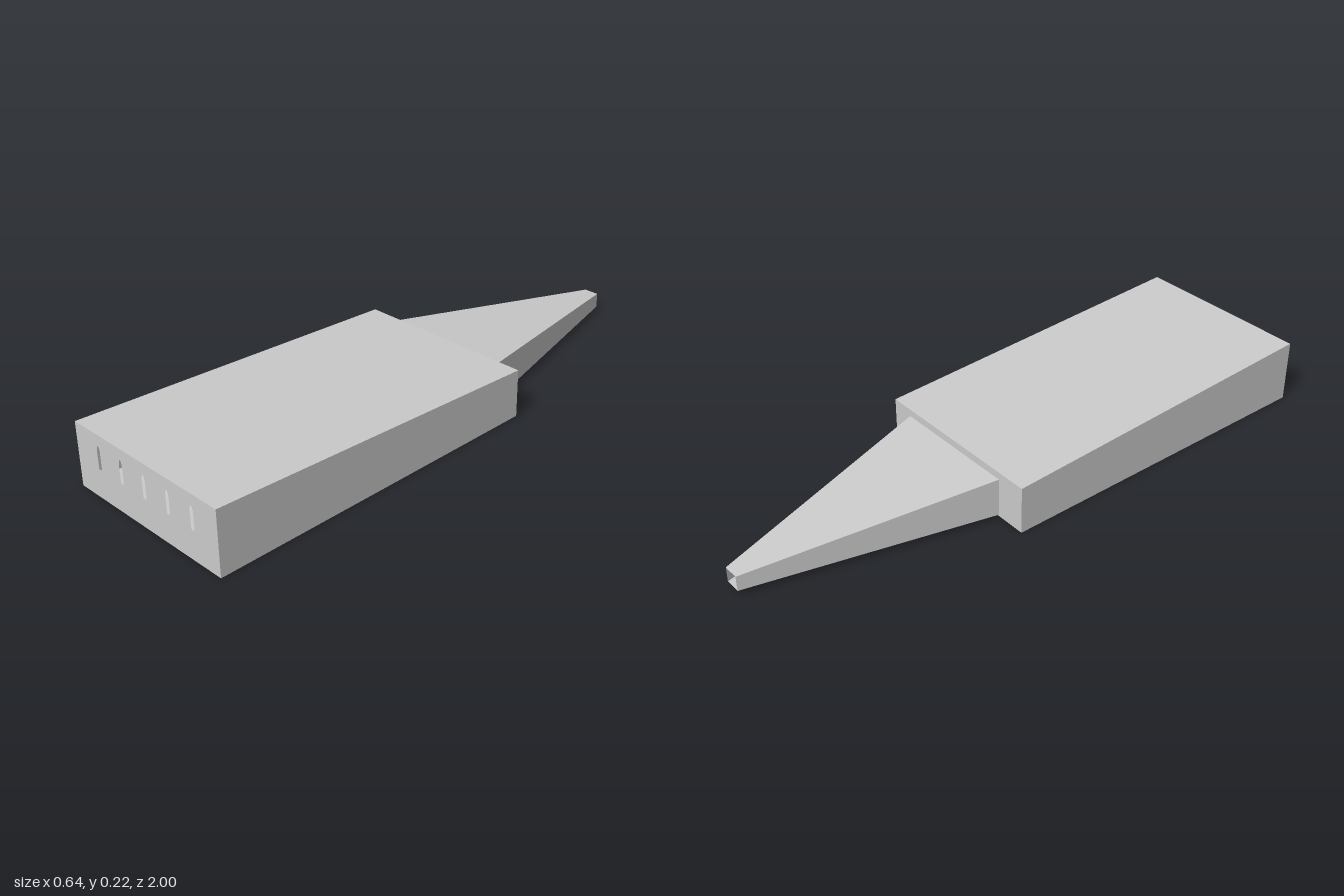
import * as THREE from 'three';

const material = new THREE.MeshStandardMaterial({ color: 0xcccccc, side: THREE.DoubleSide, flatShading: true });

function addPart(group, name, geometry, z = 0) {
  const mesh = new THREE.Mesh(geometry, material);
  mesh.name = name;
  mesh.position.z = z;
  group.add(mesh);
}

// Corners of a rectangular section, counter-clockwise seen from the front
const corners = ({ w, y0, y1 }) => [[-w, y0], [w, y0], [w, y1], [-w, y1]];

// Open four-sided duct from a front section to a back section
function duct(front, back) {
  const f = corners(front).map(([x, y]) => [x, y, front.z]);
  const b = corners(back).map(([x, y]) => [x, y, back.z]);
  const points = [];
  for (let i = 0; i < 4; i++) {
    const j = (i + 1) % 4;
    points.push(...f[i], ...b[i], ...f[j], ...f[j], ...b[i], ...b[j]);
  }
  const geometry = new THREE.BufferGeometry();
  geometry.setAttribute('position', new THREE.Float32BufferAttribute(points, 3));
  geometry.computeVertexNormals();
  return geometry;
}

const toPoints = (section) => corners(section).map(([x, y]) => new THREE.Vector2(x, y));

// Flat wall across a section, with openings
function wall(section, holes, faceBack = false) {
  const shape = new THREE.Shape(toPoints(section));
  shape.holes.push(...holes);
  const geometry = new THREE.ShapeGeometry(shape, 6);
  if (faceBack) geometry.rotateY(Math.PI);
  return geometry;
}

// Narrow slot with a pointed arch
function slot(x) {
  const w = 0.007, path = new THREE.Path();
  path.moveTo(x - w, 0.1);
  path.lineTo(x + w, 0.1);
  path.lineTo(x + w, 0.162);
  path.quadraticCurveTo(x + w * 0.8, 0.174, x, 0.18);
  path.quadraticCurveTo(x - w * 0.8, 0.174, x - w, 0.162);
  path.closePath();
  return path;
}

export function createModel() {
  const group = new THREE.Group();
  const bodyFront = { z: 1, w: 0.319, y0: 0, y1: 0.216 };
  const bodyBack = { z: -0.195, w: 0.319, y0: 0, y1: 0.164 };
  const neckFront = { z: -0.195, w: 0.213, y0: 0.03, y1: 0.136 };
  const neckBack = { ...neckFront, z: -0.205 };
  const tailFront = { z: -0.205, w: 0.225, y0: 0.018, y1: 0.15 };
  const tailBack = { z: -1, w: 0.027, y0: 0.018, y1: 0.07 };
  const neckHole = () => new THREE.Path(toPoints(neckFront));

  // Hollow wedge-shaped body
  addPart(group, 'bodyShell', duct(bodyFront, bodyBack));
  const slots = [-2, -1, 0, 1, 2].map((i) => slot(i * 0.106));
  addPart(group, 'slottedFrontWall', wall(bodyFront, slots), bodyFront.z);
  addPart(group, 'bodyBackWall', wall(bodyBack, [neckHole()], true), bodyBack.z);

  // Short neck joining the body to the tapered spout, open at its tip
  addPart(group, 'neck', duct(neckFront, neckBack));
  addPart(group, 'spoutFrontWall', wall(tailFront, [neckHole()]), tailFront.z);
  addPart(group, 'spout', duct(tailFront, tailBack));
  return group;
}
